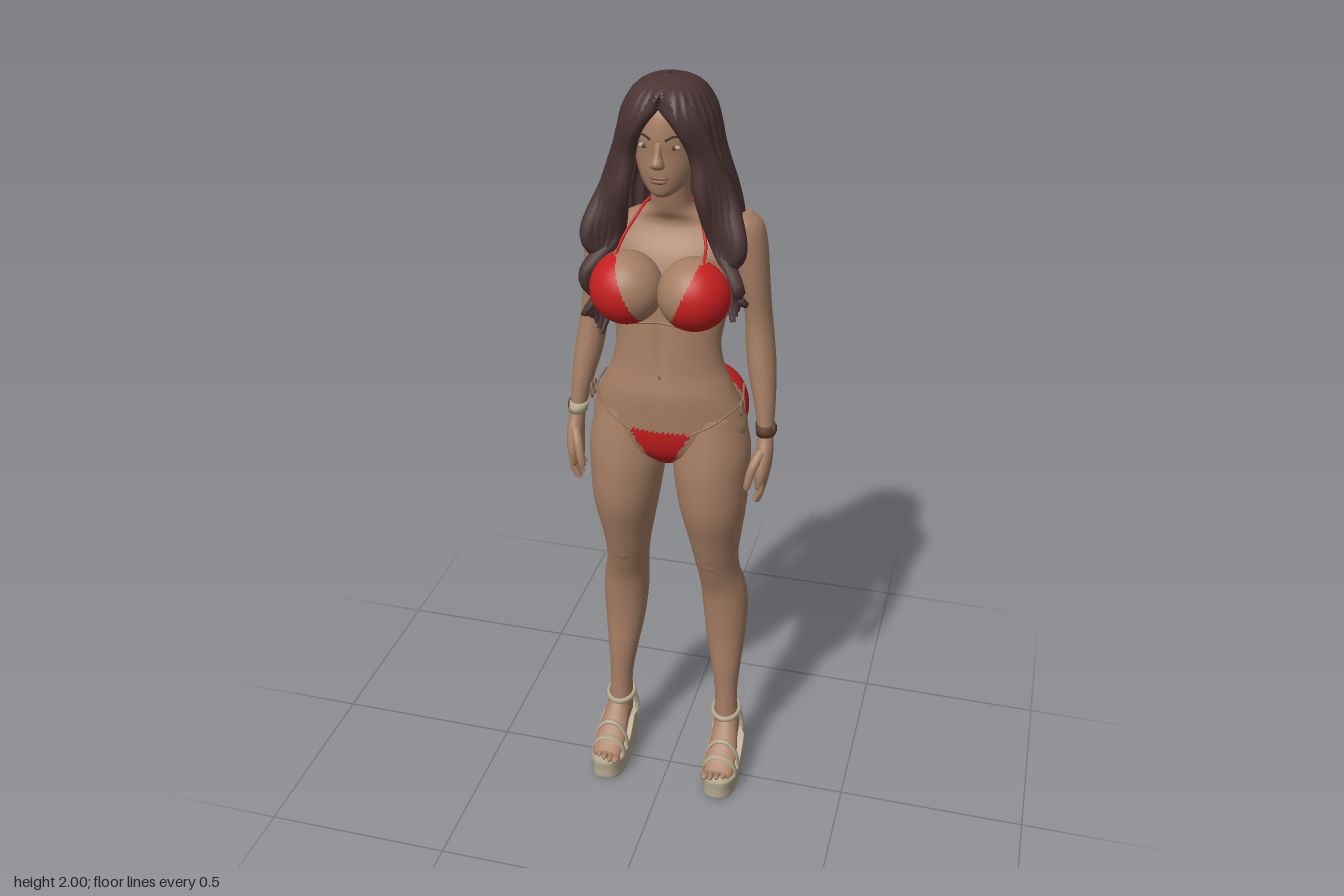
import * as THREE from 'three';

const mat = (name, color, side = THREE.FrontSide) => {
  const m = new THREE.MeshStandardMaterial({ color, side });
  m.name = name;
  return m;
};
const V = (p) => new THREE.Vector3(...p);

// Smooth interpolation of one column through evenly indexed rows
function sample(rows, t, col) {
  const n = rows.length - 1, i = Math.min(Math.floor(t * n), n - 1), f = t * n - i;
  const g = (k) => rows[Math.max(0, Math.min(n, k))][col] ?? 0;
  const a = g(i - 1), b = g(i), c = g(i + 1), d = g(i + 2);
  return b + 0.5 * f * (c - a + f * (2 * a - 5 * b + 4 * c - d + f * (3 * (b - c) + d - a)));
}

// Skin over horizontal rings, rows from top to bottom: [y, cx, cz, rx, rz, frontGap]
function loft(rows, { seg = 32, steps = 40, side = 1, open = false, power = 1, warp = null } = {}) {
  const pos = [], idx = [], w = open ? seg + 1 : seg;
  for (let i = 0; i <= steps; i++) {
    const [y, cx, cz, rx, rz, gap] = [0, 1, 2, 3, 4, 5].map((c) => sample(rows, i / steps, c));
    for (let j = 0; j < w; j++) {
      const a = gap + (j / seg) * (2 * Math.PI - 2 * gap), s = Math.sin(a), c = Math.cos(a);
      const p = [side * cx + rx * Math.sign(s) * Math.abs(s) ** power, y, cz + rz * Math.sign(c) * Math.abs(c) ** power];
      pos.push(...(warp ? warp(p, a, i / steps) : p));
    }
  }
  for (let i = 0; i < steps; i++) for (let j = 0; j < seg; j++) {
    const k = (j + 1) % w, a = i * w + j, b = i * w + k, c = a + w, d = b + w;
    idx.push(a, c, b, b, c, d);
  }
  if (!open) for (const end of [0, steps]) {
    const m = [0, 0, 0], id = pos.length / 3;
    for (let j = 0; j < seg; j++) for (let k = 0; k < 3; k++) m[k] += pos[(end * w + j) * 3 + k] / seg;
    pos.push(...m);
    for (let j = 0; j < seg; j++) {
      const a = end * w + j, b = end * w + (j + 1) % seg;
      end ? idx.push(id, b, a) : idx.push(id, a, b);
    }
  }
  const g = new THREE.BufferGeometry();
  g.setAttribute('position', new THREE.Float32BufferAttribute(pos, 3));
  g.setIndex(idx);
  g.computeVertexNormals();
  return g;
}

// Tube along points whose radius follows a rule
function strand(points, radius, n = 24, m = 8) {
  const curve = new THREE.CatmullRomCurve3(points.map(V));
  const g = new THREE.TubeGeometry(curve, n, 1, m), p = g.attributes.position, v = new THREE.Vector3();
  for (let i = 0; i < p.count; i++) {
    const u = Math.floor(i / (m + 1)) / n, c = curve.getPointAt(u);
    v.fromBufferAttribute(p, i).sub(c).multiplyScalar(radius(u)).add(c);
    p.setXYZ(i, v.x, v.y, v.z);
  }
  return g;
}
const blob = (c, r, w = 20, h = 14) => new THREE.SphereGeometry(1, w, h).scale(...r).translate(...c);

// Sort faces into two material groups by the position of their centre
function paint(g, test) {
  const p = g.attributes.position, ix = g.index.array, sets = [[], []];
  for (let i = 0; i < ix.length; i += 3) {
    const t = [ix[i], ix[i + 1], ix[i + 2]];
    const mid = (f) => (f(t[0]) + f(t[1]) + f(t[2])) / 3;
    sets[test(mid((k) => p.getX(k)), mid((k) => p.getY(k)), mid((k) => p.getZ(k))) ? 1 : 0].push(...t);
  }
  g.setIndex([...sets[0], ...sets[1]]);
  g.addGroup(0, sets[0].length, 0);
  g.addGroup(sets[0].length, sets[1].length, 1);
  return g;
}
const isBrief = (x, y, z) => y > 1.045 && y < 1.262 && z < -0.045
  || (z > 0.02 && y > 1.0 && y < 1.145 && Math.abs(x) < 0.02 + (y - 1.04) * 0.55);

export function createModel() {
  const model = new THREE.Group();
  const skin = mat('skin', 0xa57d63), red = mat('red fabric', 0xc41e1e), hair = mat('hair', 0x4b3434, THREE.DoubleSide);
  const shoe = mat('shoe', 0xb5a88f), leather = mat('brown leather', 0x5a3c30), lip = mat('lips', 0x8a5a4c);
  const white = mat('eye white', 0xb8aaa0), tan = mat('tan cord', 0x8f6c55);
  const add = (name, g, m) => {
    const mesh = new THREE.Mesh(g, m);
    mesh.name = name;
    model.add(mesh);
    return mesh;
  };

  // Torso with a midline groove down belly and spine
  const groove = ([x, y, z]) => {
    const k = Math.exp(-((x / 0.016) ** 2)) * Math.exp(-(((y - 1.38) / 0.13) ** 2));
    return [x, y, z - Math.sign(z) * 0.007 * k];
  };
  add('torso', paint(loft([[1.78, 0, 0, 0.046, 0.048], [1.72, 0, -0.01, 0.046, 0.047], [1.685, 0, -0.025, 0.058, 0.052],
    [1.658, 0, -0.042, 0.11, 0.055], [1.63, 0, -0.042, 0.155, 0.064], [1.58, 0, -0.025, 0.162, 0.08],
    [1.5, 0, -0.01, 0.153, 0.093], [1.42, 0, 0.002, 0.138, 0.09], [1.36, 0, 0.012, 0.13, 0.085],
    [1.3, 0, 0.012, 0.139, 0.09], [1.24, 0, 0.01, 0.164, 0.1], [1.18, 0, 0, 0.188, 0.108],
    [1.12, 0, -0.005, 0.196, 0.108], [1.07, 0, -0.008, 0.15, 0.095], [1.03, 0, -0.01, 0.05, 0.06]],
  { seg: 96, steps: 100, warp: groove }), isBrief), [skin, red]);
  add('navel', blob([0, 1.29, 0.095], [0.007, 0.01, 0.005]), lip);

  // Head and face
  add('head', loft([[1.98, 0, 0, 0.03, 0.04], [1.96, 0, 0, 0.06, 0.07], [1.93, 0, 0.004, 0.076, 0.092],
    [1.88, 0, 0.005, 0.08, 0.1], [1.84, 0, 0.006, 0.077, 0.096], [1.8, 0, 0.012, 0.069, 0.09],
    [1.77, 0, 0.025, 0.055, 0.074], [1.75, 0, 0.042, 0.037, 0.052], [1.74, 0, 0.058, 0.02, 0.026]], { seg: 40 }), skin);
  add('nose', loft([[1.872, 0, 0.098, 0.008, 0.008], [1.845, 0, 0.103, 0.009, 0.014], [1.828, 0, 0.108, 0.014, 0.02],
    [1.817, 0, 0.106, 0.016, 0.016], [1.811, 0, 0.1, 0.01, 0.01]], { seg: 16, steps: 16 }), skin);
  add('upperLip', blob([0, 1.79, 0.099], [0.023, 0.005, 0.007]), lip);
  add('lowerLip', blob([0, 1.781, 0.098], [0.02, 0.006, 0.008]), lip);

  // Long hair: a wavy sheet open at the face and hanging down the back
  const waves = ([x, y, z], a, t) => {
    const k = 1 + (0.012 + 0.025 * t) * Math.cos(a * 26 + 3 * Math.sin(t * 5)) * Math.min(1, t * 6);
    return [x * k, y, z * k];
  };
  add('hair', loft([[2.0, 0, 0, 0.004, 0.004, 0], [1.992, 0, 0, 0.045, 0.05, 0], [1.97, 0, 0, 0.08, 0.09, 0.02],
    [1.93, 0, -0.002, 0.104, 0.115, 0.3], [1.89, 0, -0.004, 0.115, 0.118, 0.7], [1.84, 0, -0.008, 0.124, 0.118, 0.95],
    [1.79, 0, -0.012, 0.138, 0.122, 1.15], [1.74, 0, -0.022, 0.152, 0.122, 1.3], [1.68, 0, -0.036, 0.163, 0.115, 1.45],
    [1.6, 0, -0.056, 0.16, 0.104, 1.6], [1.52, 0, -0.07, 0.146, 0.097, 1.65], [1.46, 0, -0.077, 0.115, 0.09, 1.7],
    [1.42, 0, -0.085, 0.06, 0.08, 1.75]], { seg: 150, steps: 70, open: true, power: 0.88, warp: waves }), hair);

  for (const s of [1, -1]) {
    const tag = s > 0 ? 'left' : 'right';
    const put = (name, g, m) => add(tag + name, g, m);

    // Eyes and brows
    put('Eye', blob([s * 0.034, 1.86, 0.09], [0.014, 0.006, 0.008]), white);
    put('Iris', blob([s * 0.034, 1.86, 0.095], [0.0055, 0.0055, 0.0045]), leather);
    put('Brow', strand([[s * 0.016, 1.877, 0.102], [s * 0.036, 1.886, 0.096], [s * 0.054, 1.879, 0.084]],
      (u) => 0.0035 * (1 - 0.6 * u), 10, 6), hair);

    // Face-framing locks that fall over the chest, longer on one side
    const end = s > 0 ? 1.43 : 1.36;
    for (let k = 0; k < 5; k++) {
      const d = (k - 2) * 0.011;
      put('Lock' + k, strand([[s * 0.006, 1.955 + k * 0.006, 0.1 - k * 0.008], [s * (0.06 + d * 0.5), 1.915 + d * 0.5, 0.094 - k * 0.005],
        [s * (0.093 + d * 0.6), 1.83, 0.064 - k * 0.004], [s * (0.118 + d), 1.74, 0.048 - d],
        [s * (0.152 + d * 1.3), 1.62, 0.048 + d * 0.8], [s * (0.158 - d * 1.2), 1.53, 0.05 - d * 1.4],
        [s * (0.174 + d), end + 0.06, 0.038 + d], [s * (0.172 + d * 0.4), end + k * 0.015, 0.034]],
      (u) => 0.004 + 0.017 * Math.sin(Math.PI * Math.min(1, u * 0.85 + 0.12)) ** 0.8, 44, 8), hair);
    }

    // Bust with triangle cups, straps and under-band
    const isCup = (x, y, z) => s * x > 0.03 + (y - 1.435) * 0.43 && y < 1.595 && z > 0.1 - (y - 1.435) * 0.13;
    put('Breast', paint(blob([s * 0.082, 1.513, 0.083], [0.088, 0.087, 0.089], 80, 56), isCup), [skin, red]);
    put('NeckStrap', strand([[s * 0.105, 1.59, 0.102], [s * 0.1, 1.62, 0.055], [s * 0.08, 1.66, 0.012], [s * 0.055, 1.695, -0.03],
      [0, 1.705, -0.076]], () => 0.0035), red);
    put('BandStrap', strand([[0, 1.437, 0.098], [s * 0.08, 1.43, 0.094], [s * 0.132, 1.435, 0.04], [s * 0.145, 1.44, -0.005],
      [s * 0.1, 1.44, -0.068], [0, 1.44, -0.09]], () => 0.003), tan);

    // Hips, legs and side ties
    put('Buttock', paint(blob([s * 0.088, 1.15, -0.066], [0.098, 0.112, 0.1], 56, 48), isBrief), [skin, red]);
    put('Leg', paint(loft([[1.18, 0.1, -0.005, 0.08, 0.092], [1.08, 0.108, -0.005, 0.097, 0.108], [1.0, 0.11, 0, 0.095, 0.11],
      [0.9, 0.115, 0.001, 0.085, 0.103], [0.8, 0.118, -0.014, 0.068, 0.087], [0.74, 0.12, -0.02, 0.059, 0.073],
      [0.68, 0.125, -0.036, 0.056, 0.066], [0.62, 0.134, -0.055, 0.06, 0.064], [0.55, 0.14, -0.065, 0.061, 0.064],
      [0.46, 0.143, -0.062, 0.054, 0.055], [0.36, 0.148, -0.05, 0.041, 0.045], [0.27, 0.152, -0.042, 0.031, 0.036],
      [0.2, 0.154, -0.04, 0.032, 0.037], [0.14, 0.156, -0.04, 0.034, 0.038]], { seg: 56, steps: 100, side: s }), isBrief), [skin, red]);
    put('Kneecap', blob([s * 0.12, 0.745, 0.022], [0.034, 0.045, 0.03]), skin);
    put('HipTie', strand([[s * 0.07, 1.143, 0.102], [s * 0.125, 1.17, 0.084], [s * 0.165, 1.195, 0.052], [s * 0.184, 1.21, 0.01],
      [s * 0.178, 1.23, -0.045]], () => 0.003), tan);
    for (const dz of [-0.012, 0.012]) {
      put('Bow', new THREE.TorusGeometry(0.013, 0.003, 6, 14).scale(0.7, 1.4, 1).rotateY(Math.PI / 2)
        .translate(s * 0.19, 1.205, 0.026 + dz), tan);
    }

    // Arms, hands and fingers
    put('Arm', loft([[1.672, 0.16, -0.05, 0.022, 0.03], [1.65, 0.168, -0.053, 0.041, 0.046], [1.6, 0.178, -0.057, 0.044, 0.055],
      [1.5, 0.194, -0.058, 0.037, 0.05], [1.42, 0.205, -0.062, 0.033, 0.045], [1.36, 0.211, -0.06, 0.035, 0.046],
      [1.28, 0.222, -0.045, 0.035, 0.043], [1.2, 0.235, -0.025, 0.027, 0.033], [1.13, 0.243, -0.01, 0.02, 0.026],
      [1.08, 0.246, 0.008, 0.021, 0.034], [1.03, 0.244, 0.018, 0.02, 0.041], [0.99, 0.241, 0.018, 0.014, 0.037]],
    { seg: 28, steps: 60, side: s }), skin);
    for (let k = 0; k < 4; k++) {
      const z = 0.046 - k * 0.019, tip = [0.952, 0.938, 0.942, 0.96][k];
      put('Finger' + k, strand([[s * 0.243, 1.02, z], [s * 0.245, 0.985, z], [s * 0.236, tip + 0.012, z], [s * 0.23, tip, z]],
        (u) => (u > 0.95 ? 0.003 : 0.0105 - 0.003 * u), 14, 8), skin);
    }
    put('Thumb', strand([[s * 0.24, 1.085, 0.03], [s * 0.225, 1.05, 0.055], [s * 0.216, 1.01, 0.064], [s * 0.213, 0.99, 0.062]],
      (u) => (u > 0.95 ? 0.003 : 0.014 - 0.005 * u), 14, 8), skin);
    put('Bracelet', loft([[1.145, 0.241, -0.013, 0.024, 0.03], [1.12, 0.244, -0.007, 0.024, 0.03]], { seg: 24, steps: 2, side: s }),
      s > 0 ? leather : shoe);
    put('BraceletClasp', blob([s * 0.265, 1.132, -0.01], [0.006, 0.015, 0.014]), leather);

    // Foot and toes
    put('Foot', loft([[0.1, 0.162, -0.072, 0.036, 0.012], [0.07, 0.162, -0.085, 0.042, 0.02], [0.03, 0.161, -0.11, 0.041, 0.034],
      [-0.01, 0.159, -0.138, 0.036, 0.048], [-0.05, 0.157, -0.15, 0.034, 0.045], [-0.08, 0.157, -0.145, 0.022, 0.025]],
    { seg: 28, steps: 24, side: s }).rotateX(Math.PI / 2), skin);
    for (let k = 0; k < 5; k++) {
      put('Toe' + k, blob([s * (0.13 + k * 0.0165), 0.073, 0.108 - k * k * 0.0018], [k ? 0.0085 : 0.012, 0.01, 0.018], 12, 8), skin);
    }

    // Platform wedge sandal
    const wedge = ([x, y, z]) => {
      const h = THREE.MathUtils.lerp(0.128, 0.058, THREE.MathUtils.smoothstep(z, -0.07, 0.075));
      return [x - s * 0.006 * (z < -0.04 ? 1 : 0), y * h + 0.012 * Math.max(0, (z - 0.06) / 0.07) ** 2, z];
    };
    put('Wedge', loft([[1, 0.162, 0.017, 0.046, 0.108], [0.95, 0.162, 0.017, 0.05, 0.113], [0.5, 0.162, 0.017, 0.048, 0.111],
      [0.05, 0.162, 0.017, 0.048, 0.11], [0, 0.162, 0.017, 0.045, 0.106]], { seg: 48, steps: 24, side: s, power: 0.75, warp: wedge }), shoe);
    const arch = (z, y, h, w) => new THREE.TorusGeometry(1, 0.08, 8, 24, Math.PI).scale(0.047, h, w).translate(s * 0.162, y, z);
    put('ToeStrap', arch(0.068, 0.058, 0.054, 0.14), shoe);
    put('InstepStrap', arch(0.04, 0.07, 0.075, 0.1), shoe);
    put('AnkleStrap', new THREE.TorusGeometry(0.037, 0.006, 8, 28).rotateX(Math.PI / 2).scale(1, 1.5, 1.12).rotateX(0.2)
      .translate(s * 0.154, 0.2, -0.04), shoe);
    put('HeelStrap', strand([[s * 0.118, 0.2, -0.045], [s * 0.113, 0.15, -0.06], [s * 0.114, 0.115, -0.06]], () => 0.006, 10), shoe);
    put('OuterHeelStrap', strand([[s * 0.19, 0.2, -0.045], [s * 0.196, 0.15, -0.06], [s * 0.196, 0.115, -0.06]], () => 0.006, 10), shoe);
  }
  return model;
}
